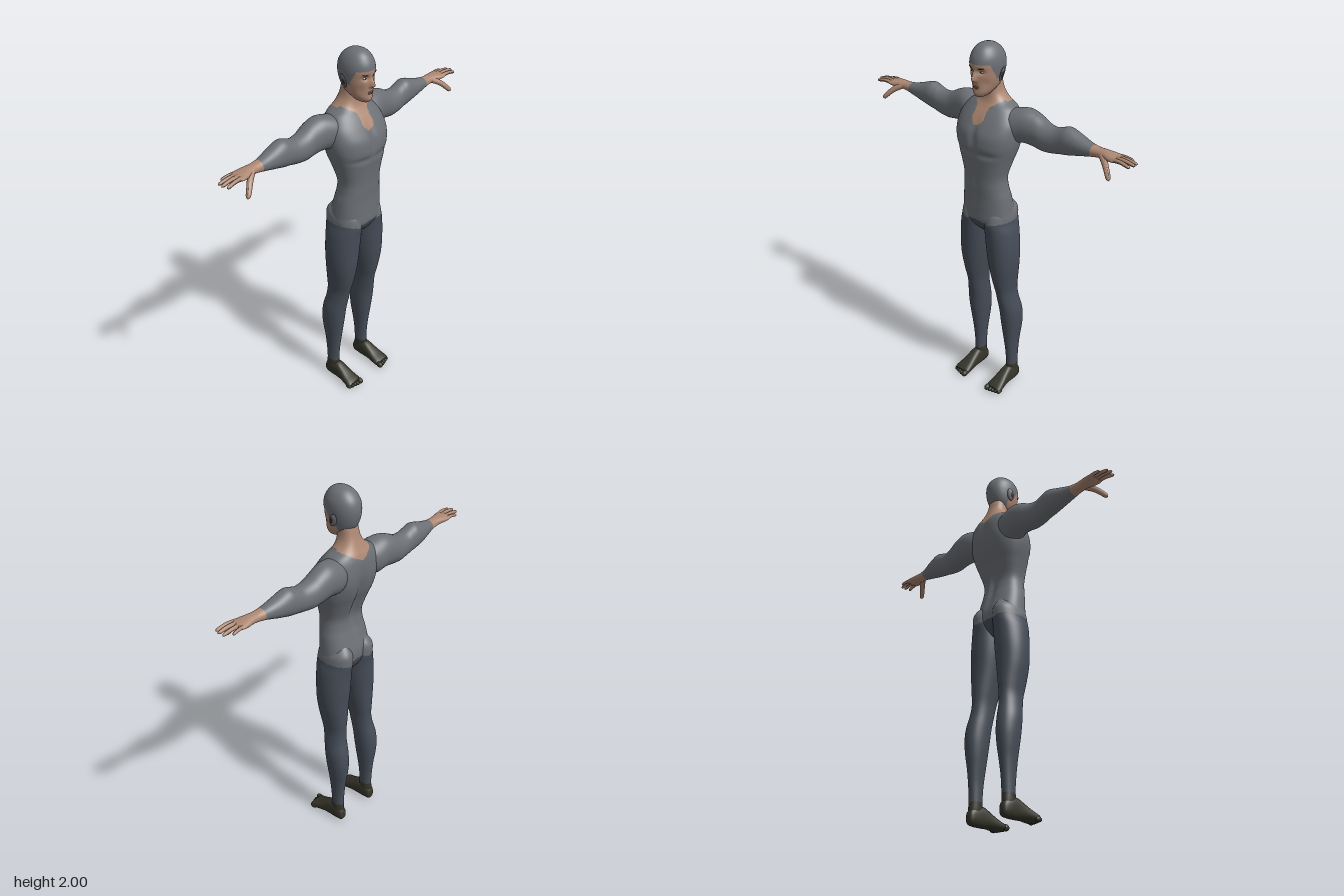
import * as THREE from 'three';

const mat = (name, color) => Object.assign(new THREE.MeshStandardMaterial({ color }), { name });
const g = (v, centre, width) => Math.exp(-(((v - centre) / width) ** 2));

// Catmull-Rom blend of whole rows of numbers
function rowAt(rows, u) {
  const last = rows.length - 1;
  const i = Math.min(Math.floor(u * last), last - 1), f = u * last - i;
  const r = (k) => rows[Math.max(0, Math.min(last, k))];
  return rows[i].map((p1, c) => {
    const p0 = r(i - 1)[c], p2 = r(i + 1)[c], p3 = r(i + 2)[c];
    return 0.5 * (2 * p1 + (p2 - p0) * f + (2 * p0 - 5 * p1 + 4 * p2 - p3) * f * f + (3 * p1 - p0 - 3 * p2 + p3) * f ** 3);
  });
}

// Closed skin through rows of [position on axis, aMax, aMin, bMax, bMin]
function loft(axis, rows, { seg, steps, power = 2.1, mirror = 1, deform }) {
  const pos = [], index = [];
  const put = (t, a, b) => {
    const p = axis === 'y' ? [a, t, b] : axis === 'x' ? [t, a, b] : [a, b, t];
    const v = new THREE.Vector3(...p);
    if (deform) deform(v);
    pos.push(v.x * mirror, v.y, v.z);
  };
  const bend = (v) => Math.sign(v) * Math.abs(v) ** (2 / power);
  for (let i = 0; i <= steps; i++) {
    const [t, a1, a0, b1, b0] = rowAt(rows, i / steps);
    for (let j = 0; j < seg; j++) {
      const w = (j / seg) * Math.PI * 2;
      put(t, (a1 + a0) / 2 + ((a1 - a0) / 2) * bend(Math.cos(w)), (b1 + b0) / 2 + ((b1 - b0) / 2) * bend(Math.sin(w)));
    }
  }
  for (let i = 0; i < steps; i++) for (let j = 0; j < seg; j++) {
    const a = i * seg + j, b = i * seg + ((j + 1) % seg);
    index.push(a, a + seg, b, b, a + seg, b + seg);
  }
  for (const [row, start] of [[rows[0], 0], [rows[rows.length - 1], steps * seg]]) {
    const c = pos.length / 3;
    put(row[0], (row[1] + row[2]) / 2, (row[3] + row[4]) / 2);
    for (let j = 0; j < seg; j++) {
      const a = start + j, b = start + ((j + 1) % seg);
      if (start) index.push(a, c, b); else index.push(a, b, c);
    }
  }
  // Turn the faces outward whichever axis or side was used
  let volume = 0;
  const at = (k) => new THREE.Vector3(pos[k * 3], pos[k * 3 + 1], pos[k * 3 + 2]);
  for (let k = 0; k < index.length; k += 3) volume += at(index[k]).dot(at(index[k + 1]).cross(at(index[k + 2])));
  if (volume < 0) index.reverse();
  const geo = new THREE.BufferGeometry();
  geo.setAttribute('position', new THREE.Float32BufferAttribute(pos, 3));
  geo.setIndex(index);
  geo.computeVertexNormals();
  return geo;
}

// Sort the faces into one group per colour, by a rule on the face centre
function paint(geo, rule) {
  const idx = geo.index.array, p = geo.attributes.position, bins = [];
  for (let k = 0; k < idx.length; k += 3) {
    const tri = [idx[k], idx[k + 1], idx[k + 2]];
    const mid = (c) => tri.reduce((s, v) => s + p.getComponent(v, c), 0) / 3;
    (bins[rule(mid(0), mid(1), mid(2))] ??= []).push(...tri);
  }
  let start = 0;
  bins.forEach((b, m) => { geo.addGroup(start, b.length, m); start += b.length; });
  geo.setIndex(bins.flat());
  return geo;
}

export function createModel() {
  const model = new THREE.Group();
  model.name = 'figure';
  const shirt = mat('grey shirt', 0x6c7075), trousers = mat('slate trousers', 0x464d58), skin = mat('skin', 0xac8772);
  const boot = mat('dark boots', 0x35352a), dark = mat('dark brown', 0x33271f), lip = mat('lips', 0x8a6353);
  const white = mat('eye white', 0xb9b2aa);
  const cloth = [shirt, trousers, skin, boot];
  const add = (name, geo, m, parent = model) => {
    const mesh = new THREE.Mesh(geo, m);
    mesh.name = name;
    parent.add(mesh);
    return mesh;
  };
  const ball = (name, m, p, s, parent) => {
    const b = add(name, new THREE.SphereGeometry(1, 16, 12), m, parent);
    b.position.set(...p);
    b.scale.set(...s);
    return b;
  };

  // Clothing borders: hem, boot tops, cuffs, keyhole collar
  const clothRule = (x, y, z) => {
    const ax = Math.abs(x);
    if (y < 0.12) return 3;
    if (y < 1.066 + 0.006 * Math.cos(ax * 45)) return 1;
    if (ax > 0.602) return 2;
    if (z > -0.03) {
      const keyhole = ax < 0.037 && y > 1.635 - Math.sqrt(Math.max(0, 0.037 ** 2 - ax * ax));
      return keyhole || y > 1.655 + 0.7 * ax ? 2 : 0;
    }
    return y > 1.65 + 0.6 * ax ? 2 : 0;
  };

  // Torso and neck: y, half width, front, back
  const torso = [
    [0.985, 0.03, 0.04, -0.05], [1.02, 0.09, 0.075, -0.08], [1.065, 0.142, 0.098, -0.098], [1.12, 0.142, 0.1, -0.1],
    [1.2, 0.135, 0.1, -0.08], [1.26, 0.124, 0.104, -0.066], [1.32, 0.122, 0.107, -0.064], [1.4, 0.143, 0.116, -0.09],
    [1.46, 0.162, 0.126, -0.113], [1.51, 0.174, 0.128, -0.125], [1.56, 0.178, 0.12, -0.132], [1.61, 0.174, 0.094, -0.132],
    [1.65, 0.155, 0.068, -0.127], [1.68, 0.13, 0.045, -0.117], [1.705, 0.09, 0.03, -0.105], [1.735, 0.064, 0.023, -0.092],
    [1.77, 0.052, 0.022, -0.08], [1.83, 0.048, 0.022, -0.065],
  ].map(([y, w, f, b]) => [y, w, -w, f, b]);
  const muscles = (v) => {
    const ax = Math.abs(v.x);
    if (v.z > 0.03) {
      v.z -= 0.012 * g(ax, 0, 0.018) * g(v.y, 1.54, 0.07);
      v.z -= 0.008 * g(v.y, 1.455, 0.018) * g(ax, 0.07, 0.07);
      v.z -= 0.004 * g(ax, 0, 0.012) * g(v.y, 1.3, 0.12);
    } else if (v.z < -0.03) {
      v.z += 0.02 * g(ax, 0, 0.025) * g(v.y, 1.4, 0.2);
      v.z -= 0.006 * g(ax, 0.09, 0.04) * g(v.y, 1.54, 0.07);
    }
  };
  add('torso', paint(loft('y', torso, { seg: 104, steps: 130, power: 2.35, deform: muscles }), clothRule), cloth);

  // Head with nose, sockets and jaw raised from one skin
  const head = [
    [1.738, 0.012, 0.078, 0.045], [1.745, 0.028, 0.088, 0.01], [1.765, 0.044, 0.096, -0.02], [1.785, 0.055, 0.097, -0.05],
    [1.81, 0.064, 0.099, -0.071], [1.84, 0.071, 0.101, -0.084], [1.87, 0.075, 0.103, -0.091], [1.9, 0.077, 0.107, -0.092],
    [1.93, 0.074, 0.103, -0.086], [1.955, 0.065, 0.092, -0.073], [1.977, 0.05, 0.075, -0.052], [1.992, 0.03, 0.052, -0.026],
    [2.0, 0.004, 0.02, 0.008],
  ].map(([y, w, f, b]) => [y, w, -w, f, b]);
  const face = (v) => {
    if (v.z < 0.03) return;
    const ax = Math.abs(v.x);
    const slope = v.y > 1.833 ? g(v.y, 1.833, 0.032) : g(v.y, 1.833, 0.011);
    v.z += 0.025 * slope * g(ax, 0, 0.012) - 0.012 * g(ax, 0.03, 0.016) * g(v.y, 1.872, 0.013);
    v.z += 0.004 * g(v.y, 1.757, 0.012) * g(ax, 0, 0.02) - 0.006 * g(ax, 0.048, 0.016) * g(v.y, 1.81, 0.025);
  };
  const capRule = (x, y, z) => {
    const edge = z > 0.065 ? 1.908 : z > 0.025 ? 1.84 + (z - 0.025) * 1.7 : z > -0.01 ? 1.835 : 1.79;
    return y > edge ? 0 : 1;
  };
  add('head', paint(loft('y', head, { seg: 112, steps: 100, deform: face }), capRule), [shirt, skin]);
  ball('upperLip', lip, [0, 1.797, 0.097], [0.02, 0.0035, 0.006]);
  ball('lowerLip', lip, [0, 1.79, 0.096], [0.017, 0.004, 0.006]);

  for (const s of [1, -1]) {
    const side = new THREE.Group();
    side.name = s > 0 ? 'leftSide' : 'rightSide';
    model.add(side);

    // Eye, brow and ear
    ball('eye', white, [s * 0.03, 1.871, 0.085], [0.012, 0.0055, 0.006], side);
    ball('iris', dark, [s * 0.03, 1.871, 0.0895], [0.005, 0.005, 0.003], side);
    ball('brow', dark, [s * 0.032, 1.889, 0.093], [0.017, 0.003, 0.006], side).rotation.set(0, s * 0.35, s * 0.12);
    ball('ear', shirt, [s * 0.08, 1.852, -0.004], [0.007, 0.036, 0.019], side).rotation.set(-0.2, s * 0.35, -s * 0.15);
    ball('earHollow', dark, [s * 0.085, 1.852, 0.001], [0.005, 0.02, 0.01], side).rotation.set(-0.2, s * 0.35, -s * 0.15);

    // Arm and palm: x, top, bottom, front, back
    const arm = [
      [0.06, 1.665, 1.54, 0.02, -0.1], [0.13, 1.68, 1.505, 0.035, -0.128], [0.2, 1.692, 1.515, 0.015, -0.132],
      [0.26, 1.675, 1.51, 0.002, -0.13], [0.315, 1.648, 1.504, 0, -0.124], [0.37, 1.641, 1.51, -0.004, -0.116],
      [0.415, 1.655, 1.519, -0.008, -0.115], [0.455, 1.665, 1.526, -0.008, -0.115], [0.52, 1.645, 1.544, -0.012, -0.106],
      [0.58, 1.628, 1.561, -0.018, -0.09], [0.63, 1.621, 1.573, -0.022, -0.082], [0.67, 1.621, 1.578, -0.018, -0.083],
      [0.705, 1.618, 1.58, -0.008, -0.089], [0.735, 1.614, 1.585, -0.003, -0.091], [0.755, 1.608, 1.593, -0.008, -0.086],
    ];
    add('arm', paint(loft('x', arm, { seg: 48, steps: 100, mirror: s }), clothRule), cloth, side);

    // Fingers and thumb, tapering to rounded tips
    const digit = (name, pts, r) => {
      const curve = new THREE.CatmullRomCurve3(pts.map(([x, y, z]) => new THREE.Vector3(s * x, y, z)));
      const tube = new THREE.TubeGeometry(curve, 16, r, 12);
      const p = tube.attributes.position;
      for (let i = 0; i < p.count; i++) {
        const u = Math.floor(i / 13) / 16, c = curve.getPointAt(u);
        const k = (1 - 0.3 * u) * Math.sqrt(Math.max(0, 1 - Math.max(0, (u - 0.85) / 0.15) ** 2));
        const v = new THREE.Vector3().fromBufferAttribute(p, i).sub(c).multiplyScalar(k).add(c);
        p.setXYZ(i, v.x, v.y, v.z);
      }
      tube.computeVertexNormals();
      add(name, tube, skin, side);
    };
    digit('indexFinger', [[0.72, 1.6, -0.018], [0.775, 1.605, -0.013], [0.832, 1.595, -0.008]], 0.0115);
    digit('middleFinger', [[0.72, 1.601, -0.038], [0.78, 1.607, -0.036], [0.842, 1.598, -0.034]], 0.0115);
    digit('ringFinger', [[0.72, 1.6, -0.058], [0.78, 1.604, -0.06], [0.838, 1.596, -0.061]], 0.011);
    digit('littleFinger', [[0.72, 1.6, -0.077], [0.76, 1.602, -0.081], [0.802, 1.595, -0.086]], 0.01);
    digit('thumb', [[0.66, 1.598, -0.035], [0.7, 1.575, -0.006], [0.728, 1.548, 0.015], [0.752, 1.52, 0.031]], 0.017);

    // Leg: y, outer, inner, front, back
    const leg = [
      [1.17, 0.1, 0.035, 0.04, -0.075], [1.12, 0.139, 0.014, 0.082, -0.112], [1.06, 0.149, 0.006, 0.096, -0.114],
      [1.0, 0.165, 0.004, 0.092, -0.108], [0.9, 0.175, 0.01, 0.086, -0.105], [0.8, 0.172, 0.024, 0.079, -0.101],
      [0.7, 0.158, 0.042, 0.062, -0.1], [0.63, 0.15, 0.054, 0.044, -0.098], [0.57, 0.156, 0.058, 0.032, -0.104],
      [0.5, 0.169, 0.06, 0.019, -0.12], [0.43, 0.17, 0.063, 0.01, -0.128], [0.36, 0.164, 0.069, 0, -0.124],
      [0.29, 0.155, 0.078, -0.01, -0.114], [0.21, 0.149, 0.087, -0.02, -0.105], [0.13, 0.147, 0.09, -0.026, -0.1],
      [0.08, 0.148, 0.091, -0.02, -0.102], [0.04, 0.145, 0.095, -0.02, -0.1],
    ];
    add('leg', paint(loft('y', leg, { seg: 56, steps: 110, mirror: s }), clothRule), cloth, side);

    // Foot: z, outer, inner, top, bottom
    const foot = [
      [-0.111, 0.13, 0.11, 0.05, 0.025], [-0.1, 0.143, 0.096, 0.078, 0.005], [-0.065, 0.15, 0.09, 0.105, 0],
      [-0.02, 0.152, 0.087, 0.105, 0], [0.02, 0.157, 0.084, 0.084, 0.002], [0.06, 0.165, 0.079, 0.06, 0],
      [0.092, 0.17, 0.076, 0.044, 0], [0.108, 0.165, 0.08, 0.034, 0.004],
    ];
    add('foot', loft('z', foot, { seg: 40, steps: 40, power: 2.5, mirror: s }), boot, side);
    for (let i = 0; i < 5; i++) {
      const r = i ? 0.0105 : 0.015;
      ball('toe', boot, [s * (i ? 0.094 + i * 0.017 : 0.089), r + 0.004, 0.112 - i * 0.005], [r, r + 0.003, 0.021], side);
    }
  }
  return model;
}
